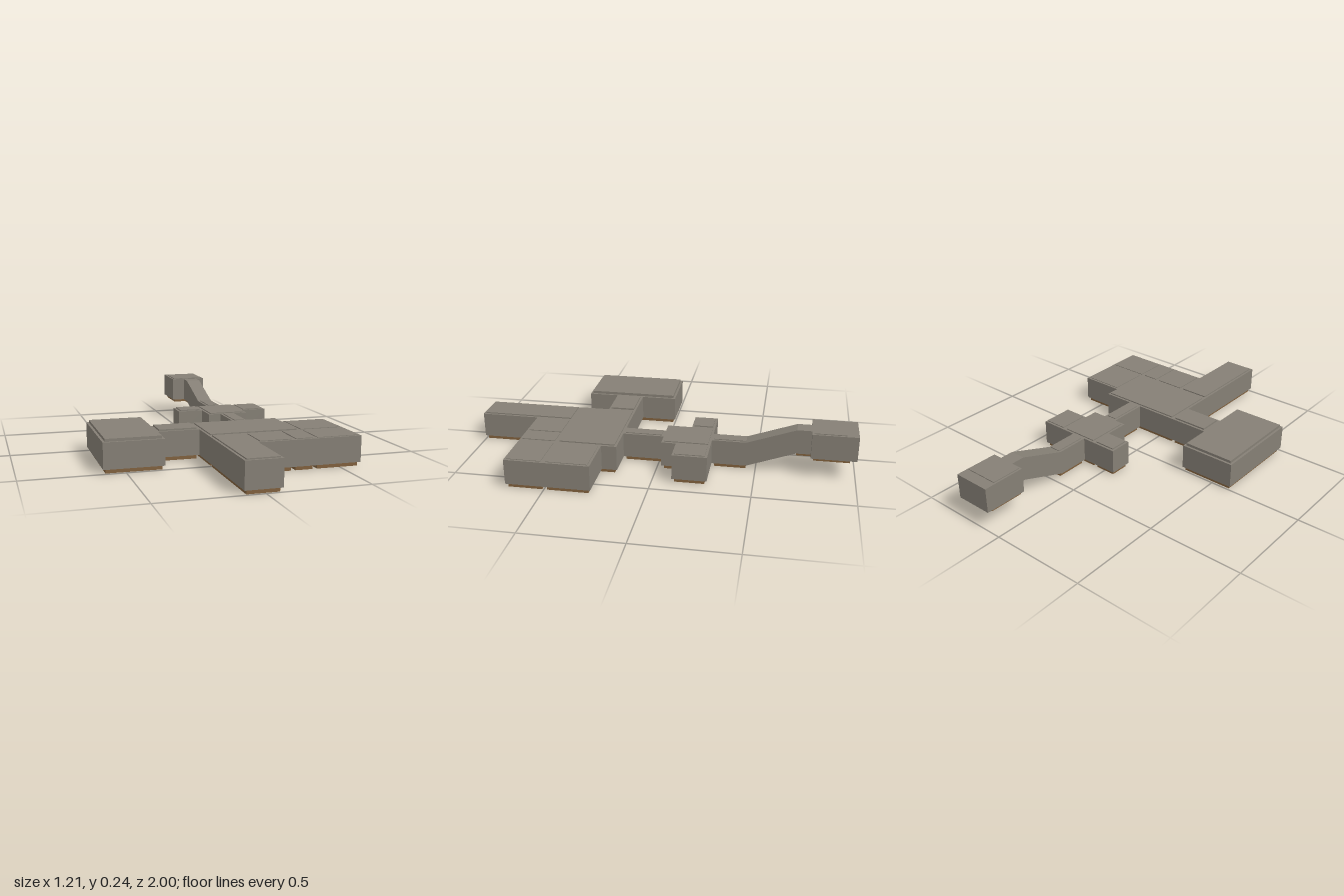
import * as THREE from 'three';

const stone = new THREE.MeshStandardMaterial({ color: 0x857f75 });
stone.name = 'grey stone';
const wood = new THREE.MeshStandardMaterial({ color: 0x80603c });
wood.name = 'brown floor';

const INSET = 0.012; // floor and roof step in from the walls
const RIM = 0.012;   // width of the floor frame
const WALL = 0.13, FLOOR = 0.02;

function addMesh(group, name, geometry, material, x = 0, y = 0, z = 0) {
  const mesh = new THREE.Mesh(geometry, material);
  mesh.name = name;
  mesh.position.set(x, y, z);
  group.add(mesh);
}

function box(group, name, material, x0, x1, y0, y1, z0, z1) {
  addMesh(group, name, new THREE.BoxGeometry(x1 - x0, y1 - y0, z1 - z0), material,
    (x0 + x1) / 2, (y0 + y1) / 2, (z0 + z1) / 2);
}

// brown floor: an open frame with a plate set back inside it
function addFloor(group, x0, x1, z0, z1, y, h) {
  const w = (x1 - x0) / 2 - INSET, d = (z1 - z0) / 2 - INSET;
  const rect = (s, a, b) => s.moveTo(-a, -b).lineTo(a, -b).lineTo(a, b).lineTo(-a, b).closePath();
  const shape = rect(new THREE.Shape(), w, d);
  shape.holes.push(rect(new THREE.Path(), w - RIM, d - RIM));
  const frame = new THREE.ExtrudeGeometry(shape, { depth: h, bevelEnabled: false });
  frame.rotateX(-Math.PI / 2);
  addMesh(group, 'floorFrame', frame, wood, (x0 + x1) / 2, y, (z0 + z1) / 2);
  const i = INSET + RIM;
  box(group, 'floorPlate', wood, x0 + i, x1 - i, y + h - 0.006, y + h, z0 + i, z1 - i);
}

// a room: wall block, floor below, thin roof panel above
function addRoom(root, name, x0, x1, z0, z1, roof = 0.005, y = FLOOR, floorH = FLOOR) {
  const group = new THREE.Group();
  group.name = name;
  root.add(group);
  box(group, 'walls', stone, x0, x1, y, y + WALL, z0, z1);
  box(group, 'roofPanel', stone, x0 + INSET, x1 - INSET, y + WALL, y + WALL + roof, z0 + INSET, z1 - INSET);
  addFloor(group, x0, x1, z0, z1, y - floorH, floorH);
}

// side profile of [z, y] points, extruded from x0 to x1
function addProfile(root, name, points, x0, x1, material) {
  const shape = new THREE.Shape(points.map(([z, y]) => new THREE.Vector2(-z, y)));
  const geometry = new THREE.ExtrudeGeometry(shape, { depth: x1 - x0, bevelEnabled: false });
  geometry.rotateY(Math.PI / 2);
  addMesh(root, name, geometry, material, x0);
}

export function createModel() {
  const root = new THREE.Group();
  root.name = 'floorPlan';

  // name, x0, x1, z0, z1, roof height
  const rooms = [
    ['westHall', -0.608, -0.312, 0, 0.497, 0.014],
    ['westPassage', -0.312, -0.098, 0.187, 0.337, 0.008],
    ['mainHall', -0.098, 0.37, 0.187, 0.497, 0.006],
    ['eastRoom', 0.37, 0.605, 0.265, 0.497, 0.003],
    ['frontHall', -0.098, 0.08, 0.497, 1, 0.006],
    ['cellOne', 0.08, 0.26, 0.497, 0.693, 0.004],
    ['cellTwo', 0.26, 0.37, 0.497, 0.693, 0.004],
    ['cellThree', 0.37, 0.605, 0.497, 0.693, 0.003],
    ['northPassage', 0.13, 0.207, -0.025, 0.187, 0.004],
    ['hubRoom', 0.065, 0.28, -0.275, -0.025, 0.005],
    ['hubWestRoom', -0.07, 0.065, -0.275, -0.153, 0.006],
    ['hubEastRoom', 0.28, 0.417, -0.275, -0.1, 0.004],
  ];
  for (const room of rooms) addRoom(root, ...room);

  // passage that climbs to the raised room
  const low = FLOOR, high = 0.11;
  addProfile(root, 'climbingPassage', [
    [-0.275, low], [-0.45, low], [-0.7, high], [-0.775, high],
    [-0.775, high + WALL - 0.002], [-0.7, high + WALL - 0.002], [-0.45, low + WALL], [-0.275, low + WALL],
  ], 0.13, 0.21, stone);
  addProfile(root, 'rampFloor', [
    [-0.45, low - 0.002], [-0.7, high - 0.002], [-0.7, high + 0.002], [-0.45, low + 0.002],
  ], 0.135, 0.205, wood);
  addFloor(root, 0.13, 0.21, -0.462, -0.275, 0, FLOOR);
  addFloor(root, 0.13, 0.21, -0.785, -0.69, high - 0.015, 0.015);
  box(root, 'lowerPassageRoof', stone, 0.142, 0.198, low + WALL, low + WALL + 0.004, -0.45, -0.287);

  // raised room, with its roof panel stopping short of the back
  box(root, 'raisedRoomWalls', stone, 0.06, 0.256, high, high + WALL, -1, -0.773);
  box(root, 'raisedRoomRoof', stone, 0.07, 0.246, high + WALL, high + WALL + 0.004, -0.94, -0.783);
  addFloor(root, 0.06, 0.256, -0.977, -0.773, high - 0.015, 0.015);

  return root;
}
